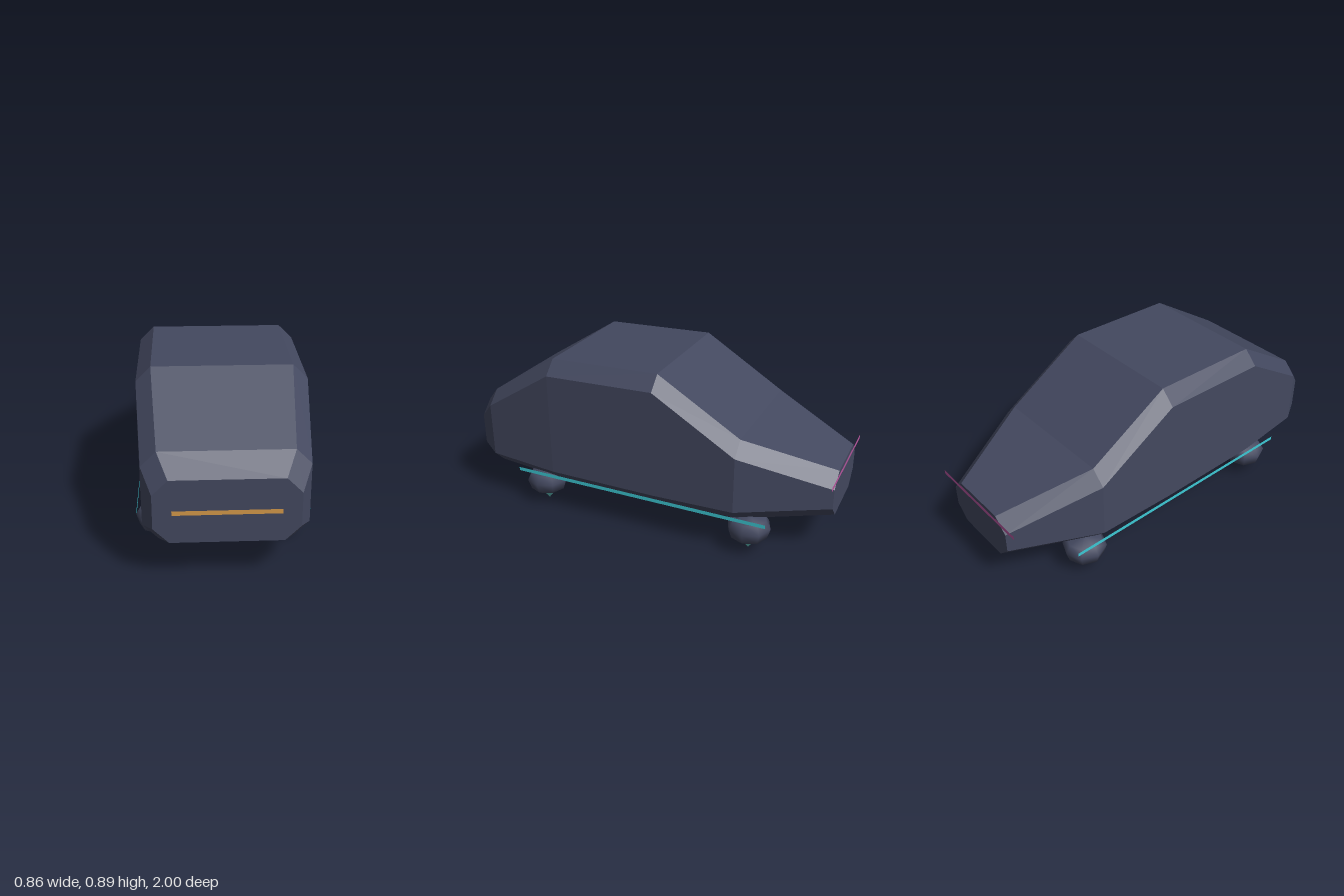
import * as THREE from 'three';

const paint = (name, color, extra = {}) =>
  Object.assign(new THREE.MeshStandardMaterial({ color, ...extra }), { name });

// Chamfered-rectangle section, counter-clockwise seen from the front
function section([z, halfWidth, bottom, top]) {
  const c = 0.073, w = halfWidth;
  return [
    [w, bottom + c], [w, top - c], [w - c, top], [c - w, top],
    [-w, top - c], [-w, bottom + c], [c - w, bottom], [w - c, bottom],
  ].map(([x, y]) => [x, y, z]);
}

// Faceted hull through the sections, closed at both ends
function loft(stations) {
  const rings = stations.map(section);
  const n = rings[0].length;
  const verts = [];
  const tri = (...points) => points.forEach((p) => verts.push(...p));
  for (let i = 0; i < rings.length - 1; i++) {
    for (let j = 0; j < n; j++) {
      const k = (j + 1) % n;
      const a = rings[i][j], b = rings[i][k], c = rings[i + 1][k], d = rings[i + 1][j];
      tri(a, d, c);
      tri(a, c, b);
    }
  }
  const front = rings[0], back = rings[rings.length - 1];
  for (let j = 1; j < n - 1; j++) {
    tri(front[0], front[j], front[j + 1]);
    tri(back[0], back[j + 1], back[j]);
  }
  const geometry = new THREE.BufferGeometry();
  geometry.setAttribute('position', new THREE.Float32BufferAttribute(verts, 3));
  geometry.computeVertexNormals();
  return geometry;
}

export function createModel() {
  const model = new THREE.Group();
  model.name = 'hoverCar';
  const hullPaint = paint('slate hull', 0x43485f, { flatShading: true });
  const podPaint = paint('slate pod', 0x43485f);
  const thrusterPaint = paint('teal thruster', 0x62c4c0, { flatShading: true });
  const amber = paint('amber light', 0xd69a4a, { side: THREE.DoubleSide });
  const cyan = paint('cyan light', 0x3cc8d4, { side: THREE.DoubleSide });
  const magenta = paint('magenta light', 0xb8559f, { side: THREE.DoubleSide });

  const add = (name, geometry, material, x = 0, y = 0, z = 0) => {
    const mesh = new THREE.Mesh(geometry, material);
    mesh.name = name;
    mesh.position.set(x, y, z);
    model.add(mesh);
    return mesh;
  };

  // Hull stations: z, half width, bottom, top
  add('body', loft([
    [0.993, 0.333, 0.212, 0.525],
    [0.9, 0.383, 0.18, 0.62],
    [0.5, 0.412, 0.165, 0.872],
    [-0.1, 0.413, 0.163, 0.887],
    [-0.54, 0.408, 0.17, 0.617],
    [-0.996, 0.228, 0.207, 0.46],
  ]), hullPaint);

  // Light strips
  add('frontLight', new THREE.PlaneGeometry(0.494, 0.022), amber, 0, 0.366, 1);
  add('rearLight', new THREE.PlaneGeometry(0.63, 0.022), magenta, 0, 0.435, -1).rotation.y = Math.PI;
  for (const side of [1, -1]) {
    add('sideLight', new THREE.PlaneGeometry(1.43, 0.02), cyan, side * 0.419, 0.212, 0)
      .rotation.y = side * Math.PI / 2;
  }

  // Hover pods with pointed thrusters underneath
  const podProfile = [
    [0, 0.068], [0.055, 0.07], [0.098, 0.08], [0.115, 0.135], [0.09, 0.178], [0, 0.19],
  ].map(([r, y]) => new THREE.Vector2(r, y));
  const podGeometry = new THREE.LatheGeometry(podProfile, 8);
  const thrusterGeometry = new THREE.ConeGeometry(0.068, 0.085, 6).rotateX(Math.PI).rotateY(Math.PI / 6);
  for (const x of [0.315, -0.315]) {
    for (const z of [0.6, -0.6]) {
      add('hoverPod', podGeometry, podPaint, x, 0, z);
      add('thruster', thrusterGeometry, thrusterPaint, x, 0.0425, z);
    }
  }
  return model;
}
